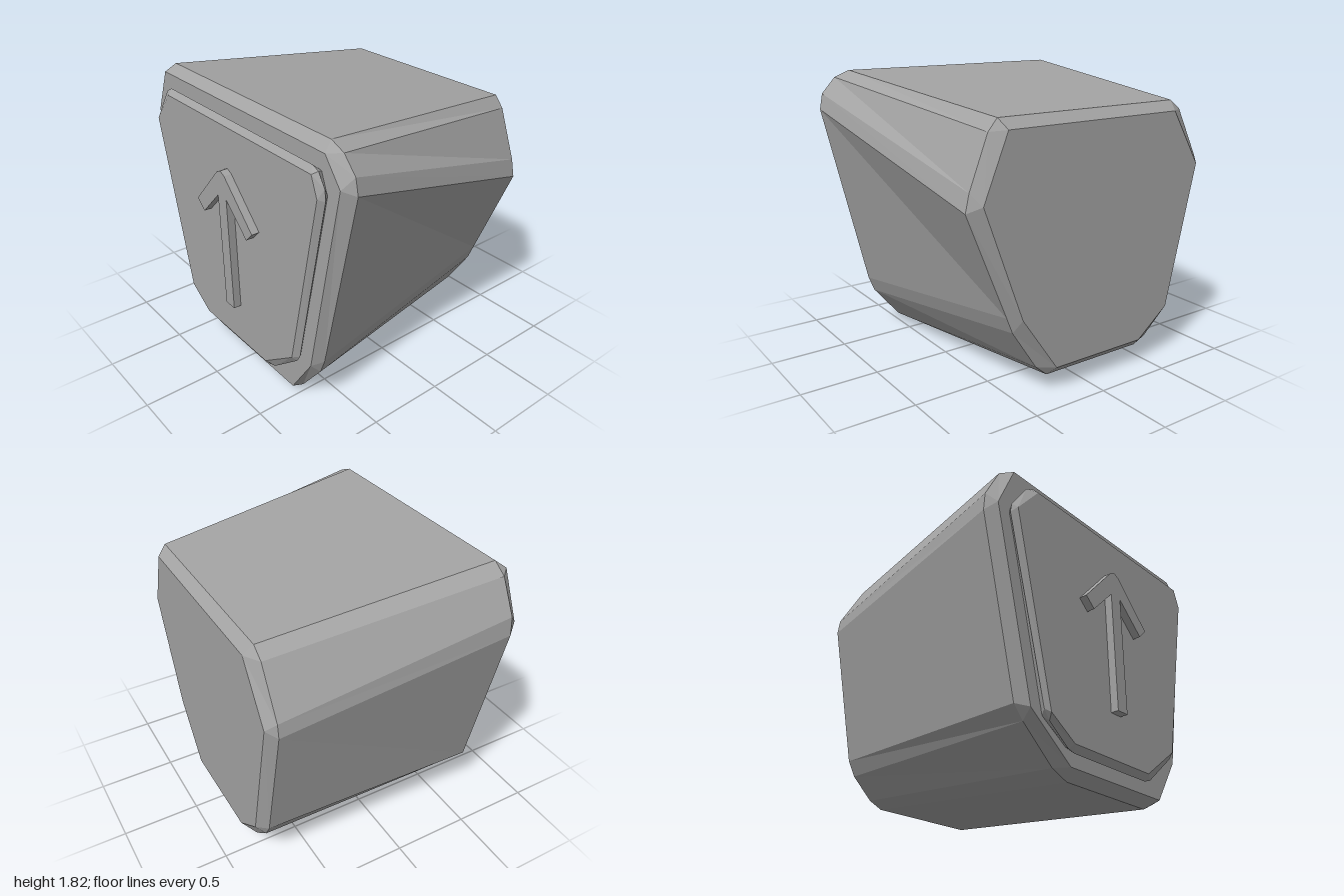
import * as THREE from 'three';

const stone = new THREE.MeshStandardMaterial({ color: 0xa3a3a3, flatShading: true });
stone.name = 'greyStone';

// An 8-corner outline becomes 16 points by doubling each corner, to match the chamfered loops
const double = (p) => p.flatMap((q, i) => (i === 0 ? [q] : [q, q])).concat([p[0]]);

// Loft closed loops (clockwise seen from the front) from front to back, capped at both ends
function loft(name, layers) {
  const rings = layers.map(([z, pts]) => pts.map(([x, y]) => new THREE.Vector3(x, y, z)));
  const out = [];
  const tri = (a, b, c) => {
    const n = b.clone().sub(a).cross(c.clone().sub(a));
    if (n.length() > 1e-7) out.push(...a.toArray(), ...b.toArray(), ...c.toArray());
  };
  const count = rings[0].length;
  for (let r = 0; r < rings.length - 1; r++) {
    for (let i = 0; i < count; i++) {
      const j = (i + 1) % count;
      const [f, b] = [rings[r], rings[r + 1]];
      tri(f[i], f[j], b[j]);
      tri(f[i], b[j], b[i]);
    }
  }
  const centre = (ring) => ring.reduce((s, p) => s.add(p), new THREE.Vector3()).divideScalar(count);
  const front = rings[0], back = rings[rings.length - 1];
  const cf = centre(front), cb = centre(back);
  for (let i = 0; i < count; i++) {
    const j = (i + 1) % count;
    tri(cf, front[j], front[i]);
    tri(cb, back[i], back[j]);
  }
  const geo = new THREE.BufferGeometry();
  geo.setAttribute('position', new THREE.Float32BufferAttribute(out, 3));
  geo.computeVertexNormals();
  const mesh = new THREE.Mesh(geo, stone);
  mesh.name = name;
  return mesh;
}

export function createModel() {
  const group = new THREE.Group();
  group.name = 'arrowStone';

  // Tapering block with chamfered front and back rims
  const blockFace = double([[-0.82, 1.77], [0.82, 1.77], [0.94, 1.61], [0.67, 0.34],
    [0.48, 0.06], [-0.37, 0.06], [-0.69, 0.31], [-0.95, 1.48]]);
  const blockFrontRim = [[-0.79, 1.82], [0.79, 1.82], [0.89, 1.78], [0.98, 1.68], [1, 1.58],
    [0.72, 0.37], [0.68, 0.27], [0.5, 0.05], [0.4, 0], [-0.33, 0], [-0.45, 0.05],
    [-0.68, 0.25], [-0.75, 0.33], [-1, 1.43], [-0.99, 1.55], [-0.88, 1.76]];
  const blockBackRim = [[-0.67, 1.67], [0.62, 1.67], [0.68, 1.6], [0.8, 1.29], [0.825, 1.18],
    [0.56, 0.53], [0.52, 0.43], [0.35, 0.17], [0.27, 0.1], [-0.45, 0.1], [-0.54, 0.14],
    [-0.68, 0.27], [-0.73, 0.36], [-0.92, 1.22], [-0.91, 1.31], [-0.75, 1.61]];
  const blockBack = double([[-0.65, 1.61], [0.59, 1.61], [0.75, 1.22], [0.49, 0.52],
    [0.24, 0.16], [-0.43, 0.16], [-0.66, 0.34], [-0.87, 1.26]]);
  group.add(loft('block', [[0.735, blockFace], [0.67, blockFrontRim],
    [-0.79, blockBackRim], [-0.85, blockBack]]));

  // Raised front panel, bevelled both ways
  const panelFace = double([[-0.68, 1.665], [0.79, 1.665], [0.835, 1.54], [0.57, 0.375],
    [0.28, 0.165], [-0.41, 0.165], [-0.6, 0.29], [-0.855, 1.46]]);
  const panelRim = [[-0.69, 1.7], [0.76, 1.7], [0.81, 1.68], [0.86, 1.6], [0.865, 1.53],
    [0.61, 0.39], [0.58, 0.34], [0.34, 0.145], [0.28, 0.125], [-0.38, 0.125], [-0.43, 0.14],
    [-0.58, 0.255], [-0.62, 0.31], [-0.885, 1.43], [-0.875, 1.49], [-0.75, 1.67]];
  group.add(loft('frontPanel', [[0.8, panelFace], [0.768, panelRim], [0.73, panelFace]]));

  // Raised upward arrow
  const outline = [[-0.065, 0.45], [0.025, 0.45], [0.025, 1.225], [0.22, 1.04], [0.285, 1.105],
    [0.02, 1.38], [-0.02, 1.4], [-0.06, 1.38], [-0.32, 1.105], [-0.25, 1.04], [-0.065, 1.225]];
  const shape = new THREE.Shape(outline.map(([x, y]) => new THREE.Vector2(x, y)));
  const arrow = new THREE.Mesh(
    new THREE.ExtrudeGeometry(shape, { depth: 0.06, bevelEnabled: false }), stone);
  arrow.position.z = 0.79;
  arrow.name = 'arrow';
  group.add(arrow);

  return group;
}
